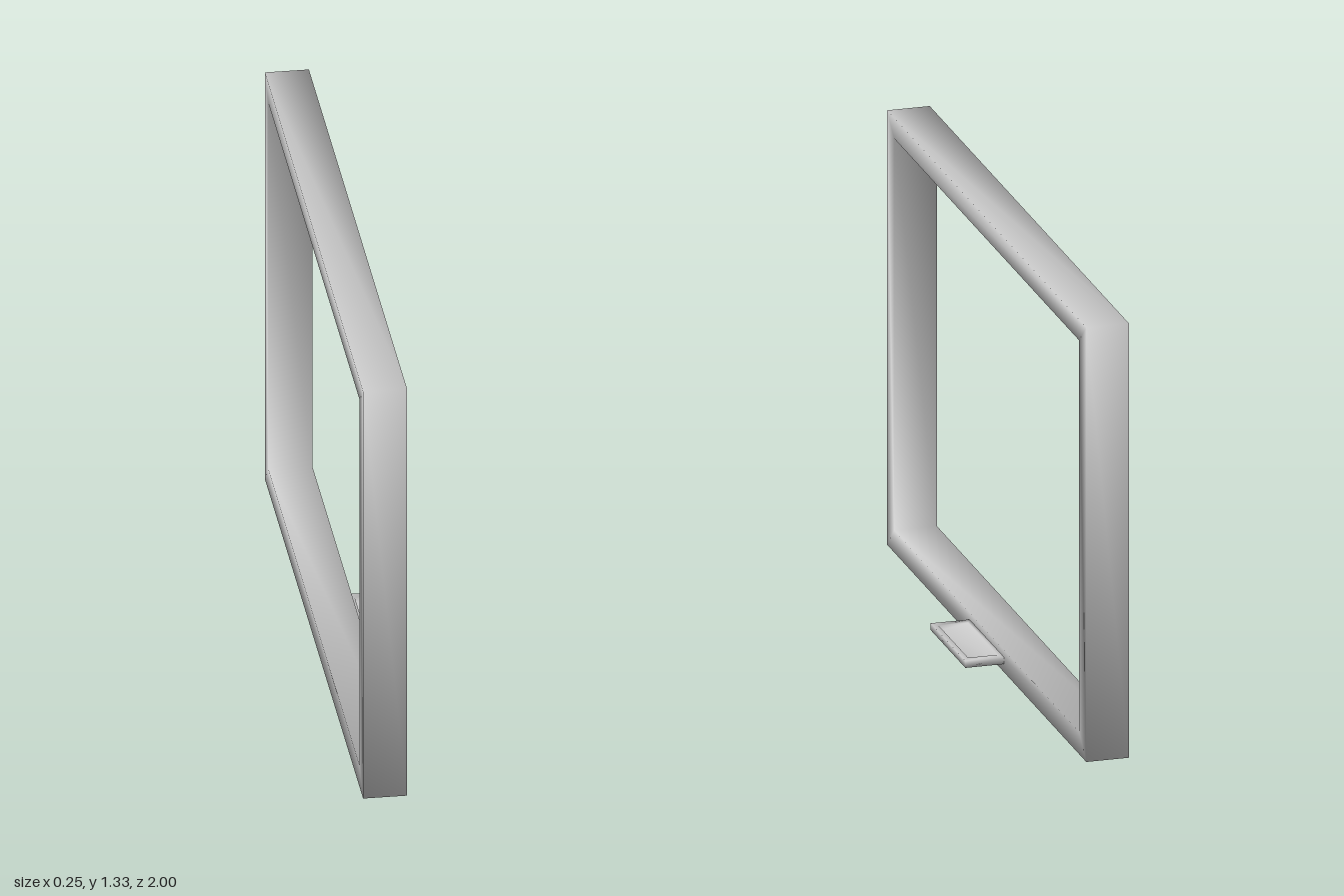
import * as THREE from 'three';

// Joins four-cornered rings into one smooth-shaded surface.
// Either wraps the last ring to the first, or caps both ends.
function loft(rings, wrap) {
  const index = [];
  const n = rings.length;
  const quad = (a, b, c, d) => index.push(a, b, c, a, c, d);
  for (let i = 0; i < (wrap ? n : n - 1); i++) {
    const p = i * 4, q = ((i + 1) % n) * 4;
    for (let j = 0; j < 4; j++) {
      const k = (j + 1) % 4;
      quad(p + j, p + k, q + k, q + j);
    }
  }
  if (!wrap) {
    const t = (n - 1) * 4;
    quad(3, 2, 1, 0);
    quad(t, t + 1, t + 2, t + 3);
  }
  const geometry = new THREE.BufferGeometry();
  geometry.setAttribute('position', new THREE.Float32BufferAttribute(rings.flat(2), 3));
  geometry.setIndex(index);
  geometry.computeVertexNormals();
  return geometry;
}

// Upright rectangle at a given x, counter-clockwise seen from +x
const uprightRing = (x, y0, y1, z) => [[x, y1, -z], [x, y1, z], [x, y0, z], [x, y0, -z]];

// Level rectangle at a given y, counter-clockwise seen from above
const levelRing = (y, x0, x1, z) => [[x1, y, z], [x1, y, -z], [x0, y, -z], [x0, y, z]];

export function createModel() {
  const model = new THREE.Group();
  model.name = 'framedBoard';
  const material = new THREE.MeshStandardMaterial({ color: 0xcccccc });

  const add = (name, geometry) => {
    const mesh = new THREE.Mesh(geometry, material);
    mesh.name = name;
    model.add(mesh);
  };

  // Mitred rectangular frame around an open centre
  const back = -0.123, front = 0.006;
  add('frame', loft([
    uprightRing(back, 0, 1.333, 1),
    uprightRing(front, 0, 1.333, 1),
    uprightRing(front, 0.068, 1.27, 0.928),
    uprightRing(back, 0.068, 1.27, 0.928),
  ], true));

  // Shallow tray with a raised rim, fixed to the bottom rail
  add('tray', loft([
    levelRing(0.025, front, 0.123, 0.174),
    levelRing(0.046, front, 0.123, 0.174),
    levelRing(0.046, 0.018, 0.107, 0.148),
    levelRing(0.033, 0.022, 0.103, 0.142),
  ], false));

  return model;
}
